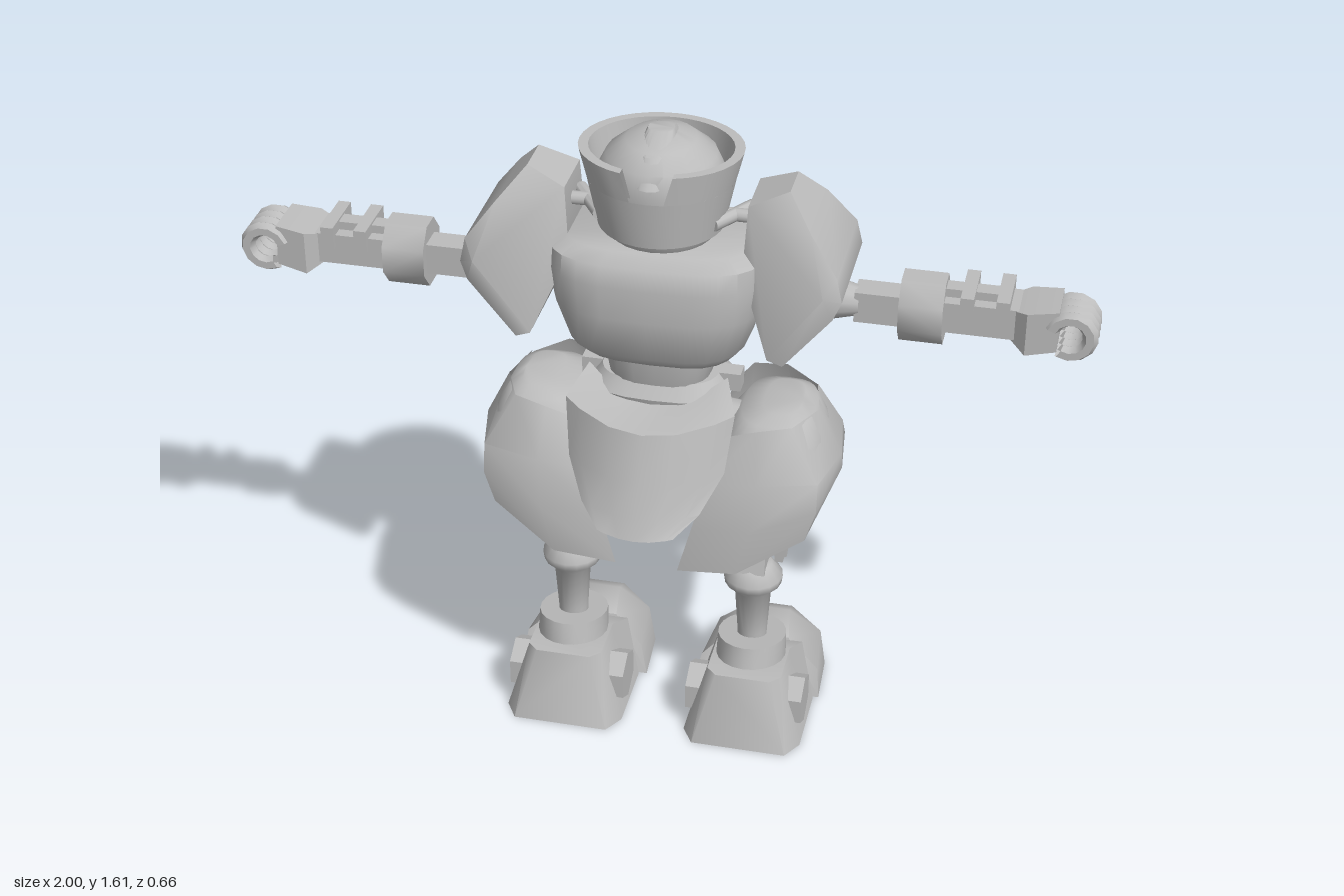
import * as THREE from 'three';
import { toCreasedNormals } from 'three/addons/utils/BufferGeometryUtils.js';
import { ConvexGeometry } from 'three/addons/geometries/ConvexGeometry.js';

const armour = new THREE.MeshStandardMaterial({ color: 0xbcbcbc, side: THREE.DoubleSide });
armour.name = 'grey armour';

// --- geometry helpers ---
function fromTriangles(pos, idx) {
  const g = new THREE.BufferGeometry();
  g.setAttribute('position', new THREE.Float32BufferAttribute(pos, 3));
  g.setIndex(idx);
  return g;
}

// Closed body through rounded cross-sections [y, cx, cz, halfX, halfZ], bottom to top
function loft(rings, power = 0.7, n = 24) {
  const pos = [], idx = [];
  const r = (v) => Math.sign(v) * Math.pow(Math.abs(v), power);
  for (const [y, cx, cz, hx, hz] of rings) {
    for (let i = 0; i < n; i++) {
      const a = (i / n) * Math.PI * 2;
      pos.push(cx + hx * r(Math.cos(a)), y, cz + hz * r(Math.sin(a)));
    }
  }
  for (let k = 0; k < rings.length - 1; k++) {
    for (let i = 0; i < n; i++) {
      const a = k * n + i, b = k * n + (i + 1) % n;
      idx.push(a, a + n, b, b, a + n, b + n);
    }
  }
  const top = (rings.length - 1) * n;
  for (let i = 1; i < n - 1; i++) {
    idx.push(0, i, i + 1);
    idx.push(top, top + i + 1, top + i);
  }
  return fromTriangles(pos, idx);
}

// Open curved plate through rows of points
function plate(rows) {
  const n = rows[0].length, idx = [];
  for (let k = 0; k < rows.length - 1; k++) {
    for (let i = 0; i < n - 1; i++) {
      const a = k * n + i;
      idx.push(a, a + n, a + 1, a + 1, a + n, a + n + 1);
    }
  }
  return fromTriangles(rows.flat(2), idx);
}

const hull = (pts) => new ConvexGeometry(pts.map((p) => new THREE.Vector3(...p)));

function box(x0, x1, y0, y1, z0, z1) {
  return new THREE.BoxGeometry(x1 - x0, y1 - y0, z1 - z0)
    .translate((x0 + x1) / 2, (y0 + y1) / 2, (z0 + z1) / 2);
}

function rod(a, b, r0, r1 = r0, n = 12) {
  const p = new THREE.Vector3(...a), q = new THREE.Vector3(...b);
  const d = q.clone().sub(p), len = d.length();
  const turn = new THREE.Quaternion().setFromUnitVectors(new THREE.Vector3(0, 1, 0), d.normalize());
  return new THREE.CylinderGeometry(r1, r0, len, n).rotateY(Math.PI / n).applyQuaternion(turn)
    .translate(...p.add(q).multiplyScalar(0.5).toArray());
}

function mirrored(geo) {
  const g = geo.clone(), p = g.attributes.position;
  for (let i = 0; i < p.count; i += 3) {
    const v = [0, 2, 1].map((k) => [-p.getX(i + k), p.getY(i + k), p.getZ(i + k)]);
    v.forEach((c, k) => p.setXYZ(i + k, ...c));
  }
  return g;
}

export function createModel() {
  const model = new THREE.Group();
  model.name = 'robot';

  function add(name, geo, crease = 0.7) {
    const m = new THREE.Mesh(toCreasedNormals(geo, crease), armour);
    m.name = name;
    model.add(m);
  }
  function pair(name, geo, crease) {
    const flat = geo.index ? geo.toNonIndexed() : geo;
    add('left ' + name, flat, crease);
    add('right ' + name, mirrored(flat), crease);
  }

  // --- torso ---
  add('chest', loft([
    [1.065, 0, -0.01, 0.185, 0.165], [1.1, 0, 0.0, 0.21, 0.19], [1.2, 0, 0.02, 0.243, 0.18],
    [1.28, 0, 0.025, 0.252, 0.175], [1.33, 0, 0.025, 0.25, 0.165], [1.352, 0, 0.025, 0.215, 0.13],
  ], 0.62), 0.9);
  add('waist', loft([[0.94, 0, 0.02, 0.09, 0.08], [0.99, 0, 0.025, 0.12, 0.095], [1.08, 0, 0.025, 0.135, 0.1]]));
  pair('chest wing', hull([
    [0, 1.19, -0.185], [0, 1.235, -0.185], [0.05, 1.18, -0.19], [0.05, 1.24, -0.19],
    [0.22, 1.13, -0.15], [0.25, 1.3, -0.13], [0.12, 1.275, -0.16], [0.12, 1.155, -0.17],
    [0.14, 1.215, -0.203], [0, 1.21, -0.12], [0.2, 1.21, -0.09],
  ]));

  // --- head ---
  add('head', loft([
    [1.34, 0, 0.025, 0.11, 0.11], [1.38, 0, 0.025, 0.142, 0.135], [1.5, 0, 0.03, 0.15, 0.14],
    [1.55, 0, 0.03, 0.125, 0.13], [1.585, 0, 0.03, 0.08, 0.09], [1.6, 0, 0.03, 0.035, 0.045],
  ], 1));
  add('head crest', loft([[1.52, 0, 0.03, 0.05, 0.145], [1.58, 0, 0.03, 0.045, 0.1], [1.61, 0, 0.03, 0.03, 0.025]], 0.8));
  // Flared helmet wall, with a notch in its rim at +z
  const wallRow = (y, rx, rz, gap) => Array.from({ length: 33 }, (_, i) => {
    const a = gap + (i / 32) * (Math.PI * 2 - gap * 2);
    return [Math.sin(a) * rx, y, 0.03 + Math.cos(a) * rz];
  });
  add('helmet wall', plate([wallRow(1.38, 0.145, 0.145, 0), wallRow(1.495, 0.17, 0.158, 0)]));
  add('helmet rim', plate([
    wallRow(1.495, 0.17, 0.158, 0.23), wallRow(1.565, 0.188, 0.163, 0.32),
    wallRow(1.565, 0.165, 0.142, 0.36), wallRow(1.495, 0.15, 0.14, 0.27),
  ]));
  add('visor', hull([
    [-0.1, 1.47, -0.08], [0.1, 1.47, -0.08], [-0.1, 1.43, -0.08], [0.1, 1.43, -0.08],
    [-0.05, 1.47, -0.133], [0.05, 1.47, -0.133], [-0.05, 1.44, -0.133], [0.05, 1.44, -0.133],
  ]));
  add('jaw', hull([
    [-0.1, 1.41, -0.08], [0.1, 1.41, -0.08], [-0.045, 1.41, -0.13], [0.045, 1.41, -0.13],
    [-0.05, 1.35, -0.08], [0.05, 1.35, -0.08], [0, 1.36, -0.115],
  ]));
  pair('cheek bar', rod([0.13, 1.41, 0.09], [0.2, 1.41, -0.02], 0.016));
  pair('ear peg', rod([0.13, 1.41, 0.03], [0.21, 1.41, 0.03], 0.016));

  // --- shoulders and arms ---
  pair('shoulder pad', hull([
    [0.3, 1.503, 0.07], [0.3, 1.503, -0.03], [0.21, 1.465, 0.09], [0.21, 1.465, -0.05],
    [0.36, 1.435, 0.135], [0.36, 1.435, -0.085], [0.425, 1.35, 0.165], [0.425, 1.35, -0.115],
    [0.438, 1.29, 0.165], [0.438, 1.29, -0.12], [0.4, 1.31, 0.198], [0.4, 1.31, -0.13],
    [0.42, 1.25, 0.175], [0.42, 1.25, -0.12], [0.31, 1.115, 0.175], [0.31, 1.115, -0.12],
    [0.275, 1.13, 0.18], [0.275, 1.13, -0.12], [0.2, 1.3, 0.1], [0.2, 1.3, -0.06],
  ]), 0.85);
  pair('upper arm', rod([0.36, 1.225, 0.03], [0.46, 1.225, 0.03], 0.06, 0.035));
  pair('elbow', box(0.45, 0.56, 1.185, 1.26, -0.005, 0.06));
  pair('forearm cuff', new THREE.CylinderGeometry(0.084, 0.084, 0.1, 8).rotateY(Math.PI / 8)
    .rotateZ(Math.PI / 2).scale(1, 1, 0.84).translate(0.603, 1.222, 0.02));
  pair('forearm', box(0.65, 0.85, 1.19, 1.265, -0.03, 0.07));
  pair('forearm rail', box(0.65, 0.8, 1.265, 1.285, 0, 0.04));
  for (const x of [0.69, 0.77]) pair('forearm band', box(x, x + 0.03, 1.235, 1.29, -0.05, 0.085));
  pair('palm', hull([
    [0.8, 1.19, -0.02], [0.8, 1.26, -0.02], [0.8, 1.19, 0.06], [0.8, 1.26, 0.06],
    [0.84, 1.165, -0.04], [0.84, 1.27, -0.04], [0.84, 1.165, 0.09], [0.84, 1.27, 0.09],
    [0.91, 1.18, -0.02], [0.91, 1.28, -0.03], [0.91, 1.18, 0.085], [0.91, 1.28, 0.085],
  ]));
  for (let i = 0; i < 4; i++) {
    pair('curled finger', new THREE.TorusGeometry(0.045, 0.018, 6, 10, 4.9)
      .rotateZ(-2.1).translate(0.938, 1.222, -0.01 + i * 0.03), 0.8);
  }
  pair('thumb', rod([0.86, 1.22, -0.045], [0.96, 1.235, -0.05], 0.025, 0.015, 6));

  // --- pelvis and skirt ---
  add('pelvis', loft([
    [0.83, 0, 0.02, 0.05, 0.05], [0.89, 0, 0.015, 0.12, 0.11],
    [0.96, 0, 0.015, 0.165, 0.125], [0.995, 0, 0.015, 0.14, 0.1],
  ]));
  pair('hip hinge', box(0.14, 0.19, 0.95, 0.995, -0.005, 0.04));
  pair('hip joint', rod([0.05, 0.86, 0.02], [0.25, 0.84, 0.02], 0.06));
  const skirtRow = (h, y, z, bow, lift) => [-1, -0.8, -0.4, 0, 0.4, 0.8, 1].map(
    (t) => [t * h, y + lift * t * t, z - bow * t * t]);
  add('hanging skirt', plate([
    skirtRow(0.165, 0.95, 0.125, 0.06, 0.05), skirtRow(0.2, 0.93, 0.245, 0.09, 0.025),
    skirtRow(0.185, 0.82, 0.285, 0.09, 0), skirtRow(0.14, 0.74, 0.31, 0.05, 0),
    skirtRow(0.09, 0.69, 0.328, 0.015, 0.01),
  ]));

  // --- thighs ---
  pair('thigh', loft([
    [0.595, 0.245, 0.015, 0.09, 0.14], [0.64, 0.25, 0.02, 0.11, 0.155], [0.7, 0.265, 0.025, 0.125, 0.165],
    [0.78, 0.28, 0.025, 0.135, 0.16], [0.87, 0.275, 0.02, 0.115, 0.14], [0.915, 0.28, 0.01, 0.085, 0.115],
    [0.932, 0.29, 0.01, 0.045, 0.08],
  ]), 0.9);
  pair('thigh outer shell', plate([
    [[0.18, 0.88, 0.13], [0.25, 0.915, 0.15], [0.33, 0.925, 0.13], [0.375, 0.915, 0.02], [0.35, 0.91, -0.1]],
    [[0.14, 0.78, 0.185], [0.26, 0.8, 0.205], [0.4, 0.8, 0.165], [0.432, 0.8, 0.02], [0.41, 0.8, -0.125]],
    [[0.11, 0.66, 0.2], [0.25, 0.68, 0.225], [0.4, 0.73, 0.18], [0.434, 0.76, 0.02], [0.415, 0.76, -0.135]],
    [[0.075, 0.53, 0.2], [0.22, 0.56, 0.225], [0.375, 0.65, 0.18], [0.415, 0.72, 0.02], [0.4, 0.74, -0.135]],
  ]), 1);
  pair('thigh rear plate', plate([
    [[0.15, 0.89, -0.1], [0.19, 0.925, -0.135], [0.27, 0.925, -0.145], [0.35, 0.9, -0.11]],
    [[0.1, 0.72, -0.17], [0.16, 0.72, -0.208], [0.29, 0.72, -0.208], [0.4, 0.74, -0.14]],
    [[0.075, 0.53, -0.14], [0.15, 0.54, -0.165], [0.27, 0.6, -0.18], [0.37, 0.66, -0.14]],
  ]));

  // --- knees and shins ---
  const legX = 0.228;
  pair('knee block', hull([-0.045, 0.045].flatMap((x) => [
    [legX + x, 0.62, 0.13], [legX + x, 0.62, -0.07], [legX + x, 0.58, 0.125], [legX + x, 0.58, -0.075],
    [legX + x * 0.8, 0.52, 0.08], [legX + x * 0.8, 0.52, -0.02],
  ])));
  pair('knee link', box(-0.035, 0.035, -0.06, 0.06, -0.04, 0.04).rotateX(-0.25).translate(legX, 0.5, 0.02));
  pair('knee pin', rod([legX - 0.08, 0.505, 0.017], [legX + 0.08, 0.505, 0.017], 0.025, 0.025, 6), 0.4);
  for (const x of [-0.065, 0.065]) pair('knee cap', box(legX + x - 0.01, legX + x + 0.01, 0.48, 0.53, -0.01, 0.045));
  pair('shin', new THREE.LatheGeometry([
    [0, 0.2], [0.036, 0.2], [0.037, 0.26], [0.045, 0.38], [0.07, 0.405], [0.073, 0.425], [0.045, 0.46], [0, 0.465],
  ].map((p) => new THREE.Vector2(...p)), 16).translate(legX, 0, 0.025), 0.9);

  // --- feet ---
  pair('ankle collar', new THREE.CylinderGeometry(0.084, 0.086, 0.055, 20).scale(1, 1, 1.25)
    .rotateX(-0.19).translate(legX, 0.217, 0.027));
  pair('heel', hull([
    [0.135, 0.187, 0.12], [0.32, 0.187, 0.12], [0.16, 0.187, 0.145], [0.295, 0.187, 0.145],
    [0.135, 0.187, 0.0], [0.32, 0.187, 0.0], [0.12, 0.135, -0.1], [0.335, 0.135, -0.1],
    [0.08, 0, 0.14], [0.375, 0, 0.14], [0.11, 0, 0.19], [0.345, 0, 0.19],
    [0.08, 0, -0.05], [0.375, 0, -0.05],
  ]), 0.9);
  pair('toe cap', hull([
    [0.15, 0.142, -0.1], [0.3, 0.142, -0.1], [0.08, 0.07, -0.08], [0.38, 0.07, -0.08],
    [0.06, 0, -0.055], [0.388, 0, -0.055], [0.17, 0.135, -0.225], [0.28, 0.135, -0.225],
    [0.095, 0.07, -0.24], [0.36, 0.07, -0.24], [0.175, 0.1, -0.29], [0.275, 0.1, -0.29],
    [0.07, 0, -0.2], [0.38, 0, -0.2], [0.145, 0, -0.335], [0.305, 0, -0.335],
  ]), 1.3);
  pair('ankle hub', rod([0.08, 0.087, 0.065], [0.372, 0.087, 0.065], 0.066, 0.066, 6), 0.4);

  return model;
}
